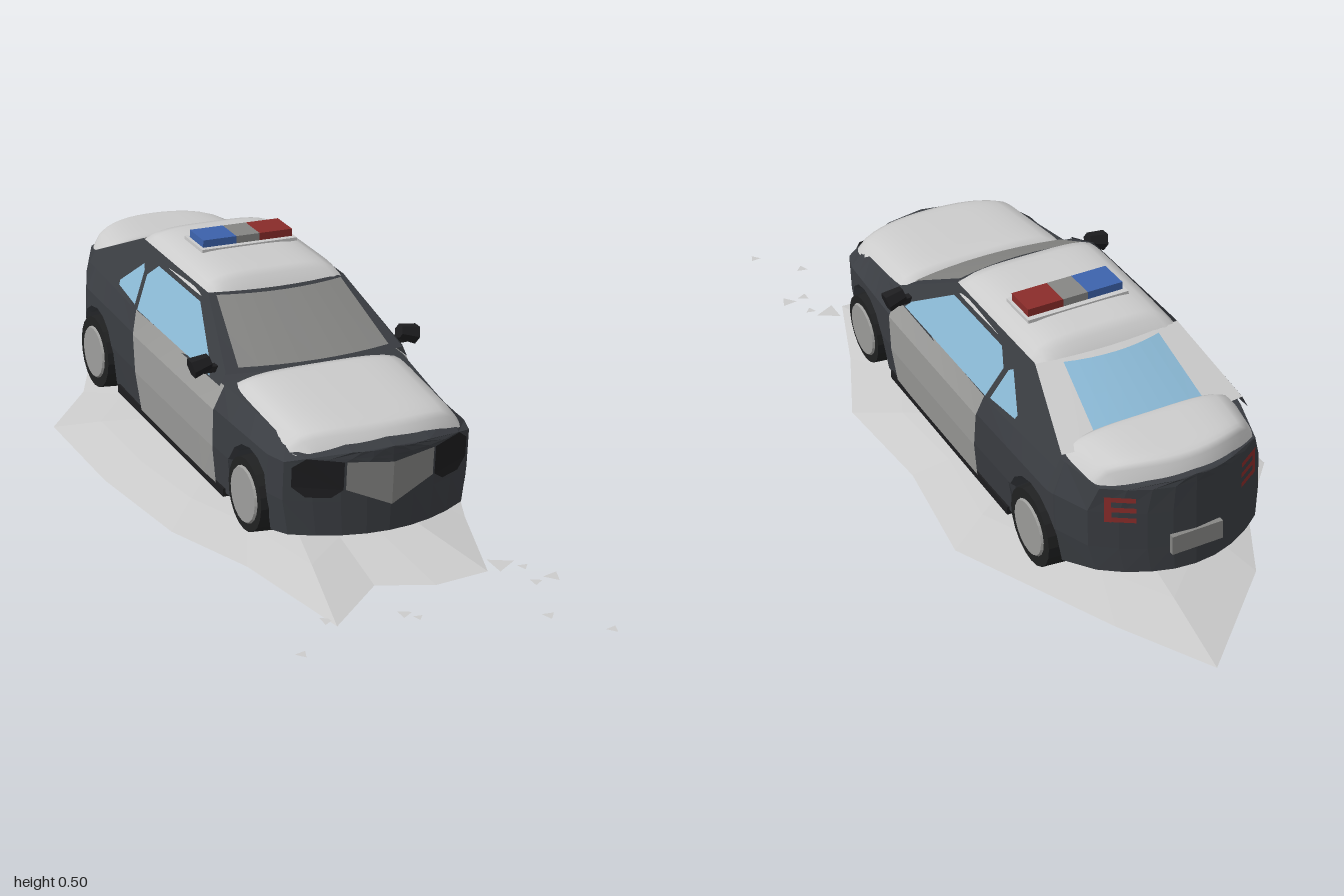
import * as THREE from 'three';

const lerp = THREE.MathUtils.lerp;
const mat = (color, flatShading = true) =>
  new THREE.MeshStandardMaterial({ color, flatShading, side: THREE.DoubleSide });
const M = {
  dark: mat(0x3a3d42), black: mat(0x1d1d1f), tyre: mat(0x202122), snow: mat(0xcccccc, false),
  ground: mat(0xcccccc), door: mat(0x9c9c9a), grey: mat(0x858583), glass: mat(0x8ab8d4),
  blue: mat(0x3c62ac), red: mat(0x8a2c2a),
};

const AXLES = [
  { name: 'front', z: 0.35, y: 0.13, r: 0.09, arch: 0.1 },
  { name: 'rear', z: -0.53, y: 0.118, r: 0.095, arch: 0.105 },
];

// Body stations: z, half width, floor y, shoulder half width, shoulder y, deck y
const STATIONS = [
  [0.55, 0.225, 0.09, 0.185, 0.27, 0.29],
  [0.45, 0.24, 0.08, 0.2, 0.29, 0.31],
  [0.17, 0.25, 0.068, 0.225, 0.315, 0.335],
  [-0.3, 0.25, 0.068, 0.235, 0.315, 0.335],
  [-0.6, 0.245, 0.08, 0.215, 0.335, 0.345],
  [-0.8, 0.205, 0.11, 0.185, 0.32, 0.34],
];

function station(z) {
  let i = 0;
  while (i < STATIONS.length - 2 && z < STATIONS[i + 1][0]) i++;
  const a = STATIONS[i], b = STATIONS[i + 1];
  const t = (a[0] - z) / (a[0] - b[0]);
  return a.map((v, k) => lerp(v, b[k], t));
}

// Half cross-section from floor centre to deck centre, with wheel wells
function ring(z) {
  const [, w, yb, ws, ys, yt] = station(z);
  let ya = yb;
  for (const a of AXLES) {
    const d = Math.abs(z - a.z);
    if (d <= a.arch + 1e-6) ya = a.y + Math.sqrt(Math.max(0, a.arch ** 2 - d * d));
  }
  return [[0, yb], [0.15, yb], [0.155, ya], [w - 0.012, ya], [w, Math.max(0.17, ya + 0.01)],
    [w, 0.26], [ws, ys], [ws * 0.5, yt - 0.005], [0, yt]];
}

// Rounds the nose and tail in plan
function bend(x, z) {
  if (z > 0.42) return z - 1.4 * x * x * (z - 0.42) / 0.13;
  if (z < -0.62) return z + 2.2 * x * x * (-0.62 - z) / 0.18;
  return z;
}

// Surface through fn(i, j) => [x, y, z]
function grid(nu, nv, fn) {
  const pos = [], index = [];
  for (let i = 0; i <= nu; i++) for (let j = 0; j <= nv; j++) pos.push(...fn(i, j));
  for (let i = 0; i < nu; i++) for (let j = 0; j < nv; j++) {
    const a = i * (nv + 1) + j, b = a + nv + 1;
    index.push(a, b, a + 1, b, b + 1, a + 1);
  }
  return finish(pos, index);
}

function finish(pos, index) {
  const g = new THREE.BufferGeometry();
  g.setAttribute('position', new THREE.Float32BufferAttribute(pos, 3));
  g.setIndex(index);
  g.computeVertexNormals();
  return g;
}

// Flat polygon as a fan from its first point
function panel(points) {
  const index = [];
  for (let i = 1; i < points.length - 1; i++) index.push(0, i, i + 1);
  return finish(points.flat(), index);
}

function add(parent, name, geometry, material, x = 0, y = 0, z = 0) {
  const m = new THREE.Mesh(geometry, material);
  m.name = name;
  m.position.set(x, y, z);
  parent.add(m);
  return m;
}

// Pillow-shaped covering between z0 and z1
function pad(z0, z1, w0, w1, y0, y1, h) {
  const n = 16;
  return grid(n, n, (i, j) => {
    const t = i / n, v = 2 * t - 1, u = 2 * j / n - 1;
    const x = u * lerp(w0, w1, t) * (1 - 0.05 * v ** 6);
    const puff = Math.sqrt(Math.max(0, (1 - u ** 4) * (1 - v ** 8)));
    return [x, lerp(y0, y1, t) + h * puff, bend(x, lerp(z0, z1, t))];
  });
}

function buildBody(car) {
  const zs = STATIONS.map(s => s[0]);
  for (const a of AXLES) {
    zs.push(a.z - a.arch - 0.001, a.z + a.arch + 0.001);
    for (let k = 0; k <= 8; k++) zs.push(a.z + a.arch * Math.cos(k * Math.PI / 8));
  }
  zs.sort((a, b) => b - a);
  add(car, 'bodyShell', grid(zs.length - 1, 16, (i, j) => {
    const [x, y] = ring(zs[i])[j < 8 ? j : 16 - j];
    const sx = j < 8 ? x : -x;
    return [sx, y, bend(sx, zs[i])];
  }), M.dark);
  for (const [name, z] of [['nose', 0.55], ['tail', -0.8]]) {
    const r = ring(z).slice(3);
    add(car, name, grid(r.length - 1, 8, (i, j) => {
      const x = r[i][0] * (j / 4 - 1);
      return [x, r[i][1], bend(x, z)];
    }), M.dark);
  }
  for (const s of [1, -1]) {
    add(car, 'doorPanel', grid(6, 3, (i, j) => {
      const z = lerp(0.18, lerp(-0.25, -0.3, j / 3), i / 6);
      const [x, y] = ring(z)[j + 3];
      return [s * (x + 0.004), y, z];
    }), M.door);
    add(car, 'sill', new THREE.BoxGeometry(0.03, 0.02, 0.62), M.black, s * 0.228, 0.072, -0.09);
  }
}

function buildCabin(car) {
  // Side planes lean inward with height
  const side = (s, off, pts) => panel(pts.map(([z, y]) => [s * (0.235 - (y - 0.31) * 0.47 + off), y, z]));
  for (const s of [1, -1]) {
    add(car, 'cabinSide', side(s, 0, [[-0.2, 0.305], [0.17, 0.31], [0.17, 0.34], [-0.04, 0.445],
      [-0.42, 0.445], [-0.62, 0.35], [-0.62, 0.32]]), M.dark);
    add(car, 'frontSideWindow', side(s, 0.004, [[0.12, 0.315], [0.1, 0.335], [-0.05, 0.422],
      [-0.29, 0.422], [-0.325, 0.39], [-0.3, 0.315]]), M.glass);
    add(car, 'rearSideWindow', side(s, 0.004, [[-0.32, 0.32], [-0.345, 0.395], [-0.36, 0.405],
      [-0.435, 0.34], [-0.43, 0.33]]), M.glass);
    // Mirror on a short stalk
    add(car, 'mirror', new THREE.CylinderGeometry(0.018, 0.024, 0.045, 6), M.black, s * 0.26, 0.345, 0.12)
      .rotation.z = s * 1.3;
    add(car, 'mirrorStalk', new THREE.BoxGeometry(0.05, 0.014, 0.02), M.black, s * 0.23, 0.333, 0.12);
  }
  // Screens: bottom and top edges, bowed outward in the middle
  const screen = (z0, z1, y0, y1, w0, w1, bow) => grid(2, 8, (i, j) => {
    const t = i / 2, u = j / 4 - 1;
    return [u * lerp(w0, w1, t), lerp(y0, y1, t), lerp(z0, z1, t) + bow * (1 - u * u)];
  });
  add(car, 'windscreenFrame', screen(0.17, -0.04, 0.335, 0.445, 0.222, 0.172, 0.02), M.dark);
  add(car, 'windscreen', screen(0.165, -0.025, 0.345, 0.443, 0.188, 0.158, 0.022), M.grey);
  add(car, 'rearScreenFrame', screen(-0.62, -0.42, 0.35, 0.445, 0.216, 0.172, -0.015), M.snow);
  add(car, 'rearScreen', screen(-0.602, -0.44, 0.366, 0.443, 0.13, 0.115, -0.018), M.glass);

  add(car, 'hoodCover', pad(0.53, 0.17, 0.21, 0.222, 0.272, 0.305, 0.045), M.snow);
  add(car, 'roofCover', pad(-0.02, -0.44, 0.182, 0.176, 0.43, 0.43, 0.047), M.snow);
  add(car, 'trunkCover', pad(-0.58, -0.79, 0.212, 0.19, 0.325, 0.32, 0.055), M.snow);

  // Emergency light bar
  add(car, 'lightBarTray', new THREE.BoxGeometry(0.245, 0.008, 0.105), M.snow, 0.01, 0.477, -0.26);
  [['blueLight', M.blue, 0.085, -0.062], ['centreLight', M.grey, 0.06, 0.0105], ['redLight', M.red, 0.085, 0.083]]
    .forEach(([n, m, w, x]) => add(car, n, new THREE.BoxGeometry(w, 0.024, 0.078), m, x, 0.487, -0.26));
}

function buildEnds(car) {
  const face = (z, pts) => panel(pts.map(([x, y]) => [x, y, bend(x, z) + Math.sign(z) * 0.005]));
  add(car, 'grille', face(0.55, [[0, 0.155], [0.105, 0.2], [0.105, 0.265], [0, 0.255], [-0.105, 0.265], [-0.105, 0.2]]), M.grey);
  add(car, 'licencePlate', new THREE.BoxGeometry(0.12, 0.045, 0.012), M.grey, 0, 0.18, -0.8);
  for (const s of [1, -1]) {
    add(car, 'headlight', face(0.55, [[0.11, 0.2], [0.11, 0.265], [0.185, 0.272], [0.212, 0.25],
      [0.212, 0.205], [0.185, 0.182], [0.135, 0.182]].map(([x, y]) => [s * x, y])), M.black);
    // Tail light: three bars and an upright
    const bars = [[0.125, 0.18, 0.29, 0.302], [0.125, 0.18, 0.265, 0.277], [0.125, 0.18, 0.24, 0.252], [0.168, 0.18, 0.24, 0.302]];
    for (const [a, b, c, d] of bars)
      add(car, 'tailLight', face(-0.8, [[s * a, c], [s * b, c], [s * b, d], [s * a, d]]), M.red);
  }
}

function buildWheels(car) {
  for (const a of AXLES) for (const s of [1, -1]) {
    const wheel = new THREE.Group();
    wheel.name = a.name + 'Wheel';
    wheel.position.set(s * 0.212, a.y, a.z);
    wheel.rotation.z = -s * Math.PI / 2;
    add(wheel, 'tyre', new THREE.CylinderGeometry(a.r - 0.006, a.r, 0.08, 20), M.tyre);
    add(wheel, 'hub', new THREE.CylinderGeometry(0.062, 0.066, 0.006, 20), M.door, 0, 0.042, 0);
    car.add(wheel);
  }
}

function buildGround(root) {
  const rim = [[-0.39, -0.42], [-0.25, -0.58], [-0.16, -0.76], [0.08, -1], [0.2, -0.79], [0.29, -0.6],
    [0.385, -0.4], [0.35, -0.1], [0.37, 0.2], [0.28, 0.42], [0.2, 0.66], [0.07, 0.665], [-0.05, 0.61],
    [-0.2, 0.73], [-0.26, 0.42], [-0.345, 0.2], [-0.385, -0.1]];
  add(root, 'groundMound', grid(4, rim.length, (i, j) => {
    const s = 1 - i / 4, [x, z] = rim[j % rim.length];
    return [x * s, 0.055 * (1 - s * s), lerp(-0.15, z, s)];
  }), M.ground);
  // Scattered flat fragments: x, z, size
  [[0.24, 0.645, 0.034], [0.28, 0.675, 0.014], [0.315, 0.74, 0.022], [0.27, 0.745, 0.016], [0.22, 0.88, 0.016],
    [0.31, 0.985, 0.015], [-0.05, 0.745, 0.018], [-0.03, 0.77, 0.012], [-0.315, 0.8, 0.015], [-0.21, 0.7, 0.018]]
    .forEach(([x, z, r], k) => {
      const f = add(root, 'fragment', new THREE.CircleGeometry(r, 3), M.ground, x, 0.001, z);
      f.rotation.set(-Math.PI / 2, 0, (k % 3) * 0.35);
    });
}

export function createModel() {
  const root = new THREE.Group();
  const car = new THREE.Group();
  car.name = 'patrolCar';
  buildBody(car);
  buildCabin(car);
  buildEnds(car);
  buildWheels(car);
  // Slight lean to its left on the uneven ground
  car.rotation.z = -0.035;
  car.position.set(0.013, 0, 0);
  root.add(car);
  buildGround(root);
  return root;
}
